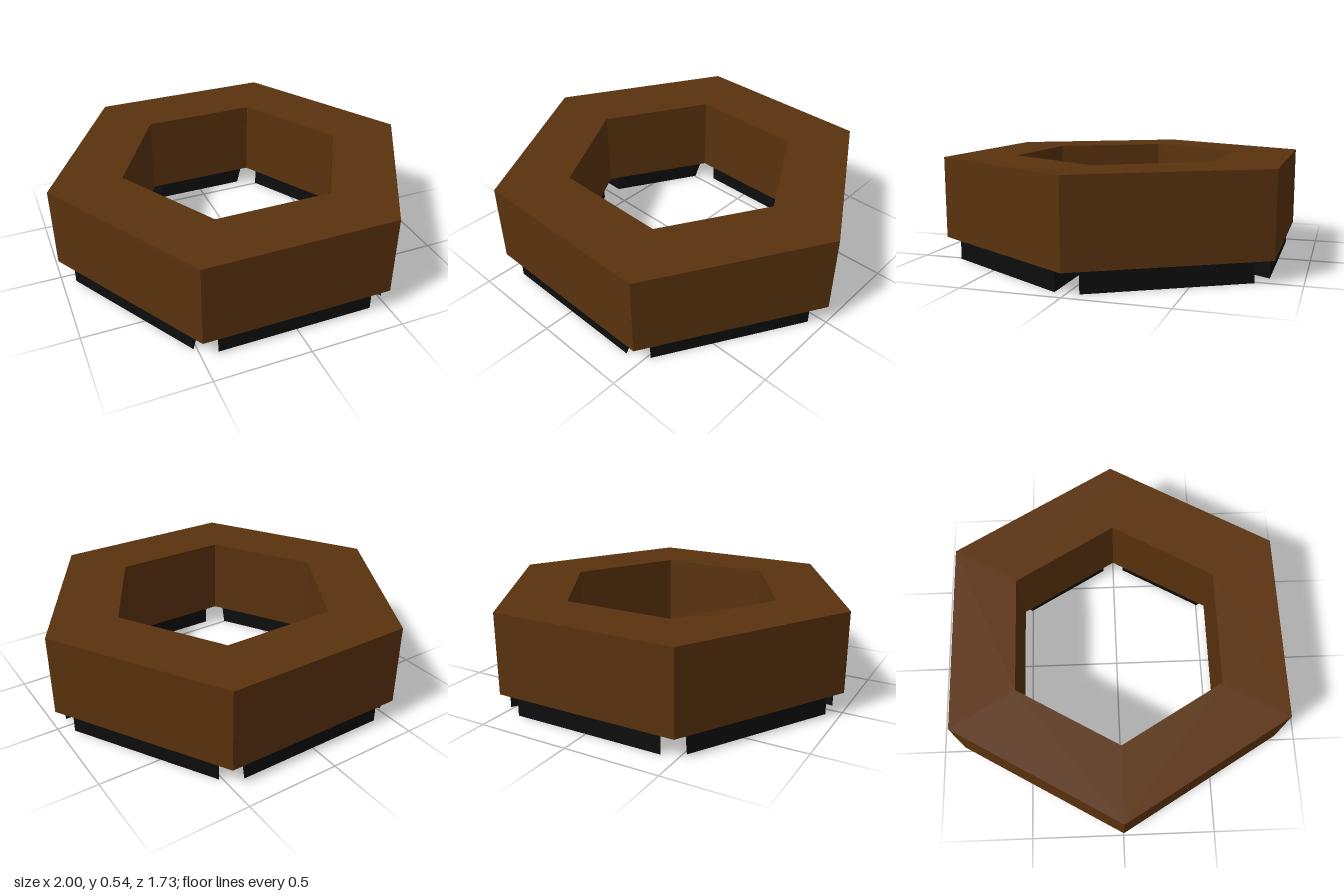
import * as THREE from 'three';

const COS30 = Math.cos(Math.PI / 6);
const TAN30 = Math.tan(Math.PI / 6);

// Extrude a flat outline (x, -z) upward from y0 to y1
function extrudeUp(shape, y0, y1) {
  const geometry = new THREE.ExtrudeGeometry(shape, { depth: y1 - y0, bevelEnabled: false });
  geometry.rotateX(-Math.PI / 2);
  geometry.translate(0, y0, 0);
  return geometry;
}

function hexagon(radius) {
  return Array.from({ length: 6 }, (_, i) => {
    const a = (i * Math.PI) / 3;
    return new THREE.Vector2(radius * Math.cos(a), radius * Math.sin(a));
  });
}

export function createModel() {
  const model = new THREE.Group();
  model.name = 'hexagonalRing';

  const brown = new THREE.MeshStandardMaterial({ color: 0x5a320e });
  brown.name = 'brown';
  const black = new THREE.MeshStandardMaterial({ color: 0x0d0d0d });
  black.name = 'black';

  // Hexagonal ring body
  const outerRadius = 1, innerRadius = 0.615;
  const footHeight = 0.11, topHeight = 0.54;
  const ringShape = new THREE.Shape(hexagon(outerRadius));
  ringShape.holes.push(new THREE.Path(hexagon(innerRadius).reverse()));
  const ring = new THREE.Mesh(extrudeUp(ringShape, footHeight, topHeight), brown);
  ring.name = 'ringBody';
  model.add(ring);

  // Six mitred feet, inset from the ring edges with a gap at each corner
  const inset = 0.031, endGap = 0.069;
  const outer = outerRadius * COS30 - inset;
  const inner = innerRadius * COS30 + inset;
  const halfLength = (d) => d * TAN30 - endGap;
  const footShape = new THREE.Shape([
    new THREE.Vector2(-halfLength(outer), -outer),
    new THREE.Vector2(halfLength(outer), -outer),
    new THREE.Vector2(halfLength(inner), -inner),
    new THREE.Vector2(-halfLength(inner), -inner),
  ]);
  const footGeometry = extrudeUp(footShape, 0, footHeight);
  for (let i = 0; i < 6; i++) {
    const foot = new THREE.Mesh(footGeometry, black);
    foot.name = `foot${i + 1}`;
    foot.rotation.y = (i * Math.PI) / 3;
    model.add(foot);
  }

  return model;
}
